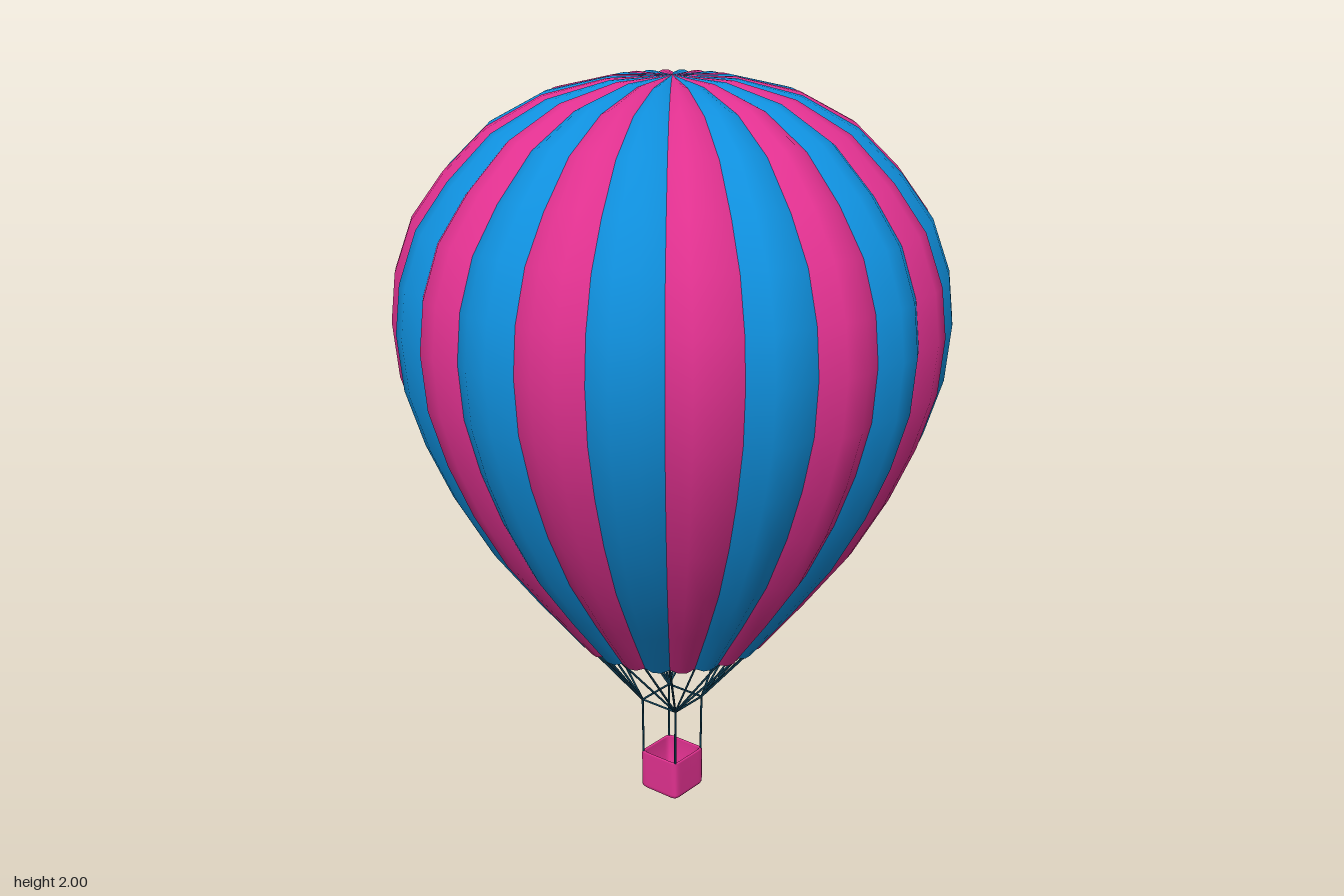
import * as THREE from 'three';

const GORES = 24;
const PINK = 0xe0318f, BLUE = 0x0f8fdc, ROPE = 0x0c3a50;

const material = (color) => new THREE.MeshStandardMaterial({ color, side: THREE.DoubleSide });

// Point at an angle measured from +z towards +x
const polar = (r, degrees, y) => {
  const a = THREE.MathUtils.degToRad(degrees);
  return new THREE.Vector3(r * Math.sin(a), y, r * Math.cos(a));
};

// Seam profile from crown to mouth: [radius, height]
const seam = [
  [0.001, 2], [0.16, 1.987], [0.317, 1.943], [0.45, 1.865], [0.555, 1.755],
  [0.632, 1.645], [0.675, 1.52], [0.688, 1.4], [0.676, 1.26], [0.633, 1.115],
  [0.572, 0.97], [0.485, 0.81], [0.374, 0.655], [0.252, 0.495],
];

// One fabric panel, puffed out along the profile's normal between its seams
function goreGeometry() {
  const columns = 3, positions = [], index = [];
  seam.forEach(([r, y], i) => {
    const [r0, y0] = seam[Math.max(i - 1, 0)];
    const [r1, y1] = seam[Math.min(i + 1, seam.length - 1)];
    const normal = new THREE.Vector2(y0 - y1, r1 - r0).normalize();
    for (let j = 0; j <= columns; j++) {
      const puff = j % columns === 0 ? 0 : 0.04 * r;
      const p = polar(r + normal.x * puff, (360 / GORES) * (j / columns), y + normal.y * puff);
      positions.push(p.x, p.y, p.z);
      if (i > 0 && j < columns) {
        const d = i * (columns + 1) + j, u = d - columns - 1;
        index.push(u, d, d + 1, u, d + 1, u + 1);
      }
    }
  });
  const geometry = new THREE.BufferGeometry();
  geometry.setAttribute('position', new THREE.Float32BufferAttribute(positions, 3));
  geometry.setIndex(index);
  geometry.computeVertexNormals();
  return geometry;
}

// Thin straight rope between two points
function rope(name, from, to, mat) {
  const direction = to.clone().sub(from);
  const mesh = new THREE.Mesh(new THREE.CylinderGeometry(0.003, 0.003, direction.length(), 6), mat);
  mesh.name = name;
  mesh.position.copy(from).add(to).multiplyScalar(0.5);
  mesh.quaternion.setFromUnitVectors(new THREE.Vector3(0, 1, 0), direction.normalize());
  return mesh;
}

// Open basket: a lathed wall and floor squared off with rounded corners
function basketGeometry() {
  const profile = [
    [0, 0], [0.052, 0], [0.059, 0.003], [0.063, 0.008], [0.064, 0.015], [0.064, 0.114],
    [0.0625, 0.117], [0.058, 0.117], [0.0565, 0.114], [0.0565, 0.012], [0, 0.012],
  ].map(([r, y]) => new THREE.Vector2(r, y));
  const geometry = new THREE.LatheGeometry(profile, 64);
  const p = geometry.attributes.position;
  for (let i = 0; i < p.count; i++) {
    const x = p.getX(i), z = p.getZ(i), r = Math.hypot(x, z) || 1;
    const k = ((x / r) ** 12 + (z / r) ** 12 || 1) ** (-1 / 12);
    p.setX(i, x * k);
    p.setZ(i, z * k);
  }
  geometry.computeVertexNormals();
  return geometry;
}

export function createModel() {
  const model = new THREE.Group();
  model.name = 'hotAirBalloon';
  const pink = material(PINK), blue = material(BLUE), ropeMaterial = material(ROPE);

  // Envelope of alternating panels
  const envelope = new THREE.Group();
  envelope.name = 'envelope';
  const gore = goreGeometry();
  for (let i = 0; i < GORES; i++) {
    const panel = new THREE.Mesh(gore, i % 2 ? pink : blue);
    panel.name = 'envelopePanel';
    panel.rotation.y = (i * 2 * Math.PI) / GORES;
    envelope.add(panel);
  }
  model.add(envelope);

  // Rigging: each corner gathers six seam ropes, then drops to the basket
  const rigging = new THREE.Group();
  rigging.name = 'rigging';
  const [mouthRadius, mouthHeight] = seam[seam.length - 1];
  for (let k = 0; k < 4; k++) {
    const angle = 52.5 + 90 * k;
    const corner = polar(0.083, angle, 0.28);
    for (let s = 0; s < 6; s++) {
      const top = polar(mouthRadius, angle - 37.5 + 15 * s, mouthHeight);
      rigging.add(rope('seamRope', corner, top, ropeMaterial));
    }
    rigging.add(rope('frameBar', corner, polar(0.083, angle + 90, 0.28), ropeMaterial));
    rigging.add(rope('basketRope', polar(0.081, angle, 0.1), corner, ropeMaterial));
  }
  model.add(rigging);

  // Basket, turned so its corners sit under the ropes
  const basket = new THREE.Mesh(basketGeometry(), pink);
  basket.name = 'basket';
  basket.rotation.y = THREE.MathUtils.degToRad(7.5);
  model.add(basket);

  return model;
}
